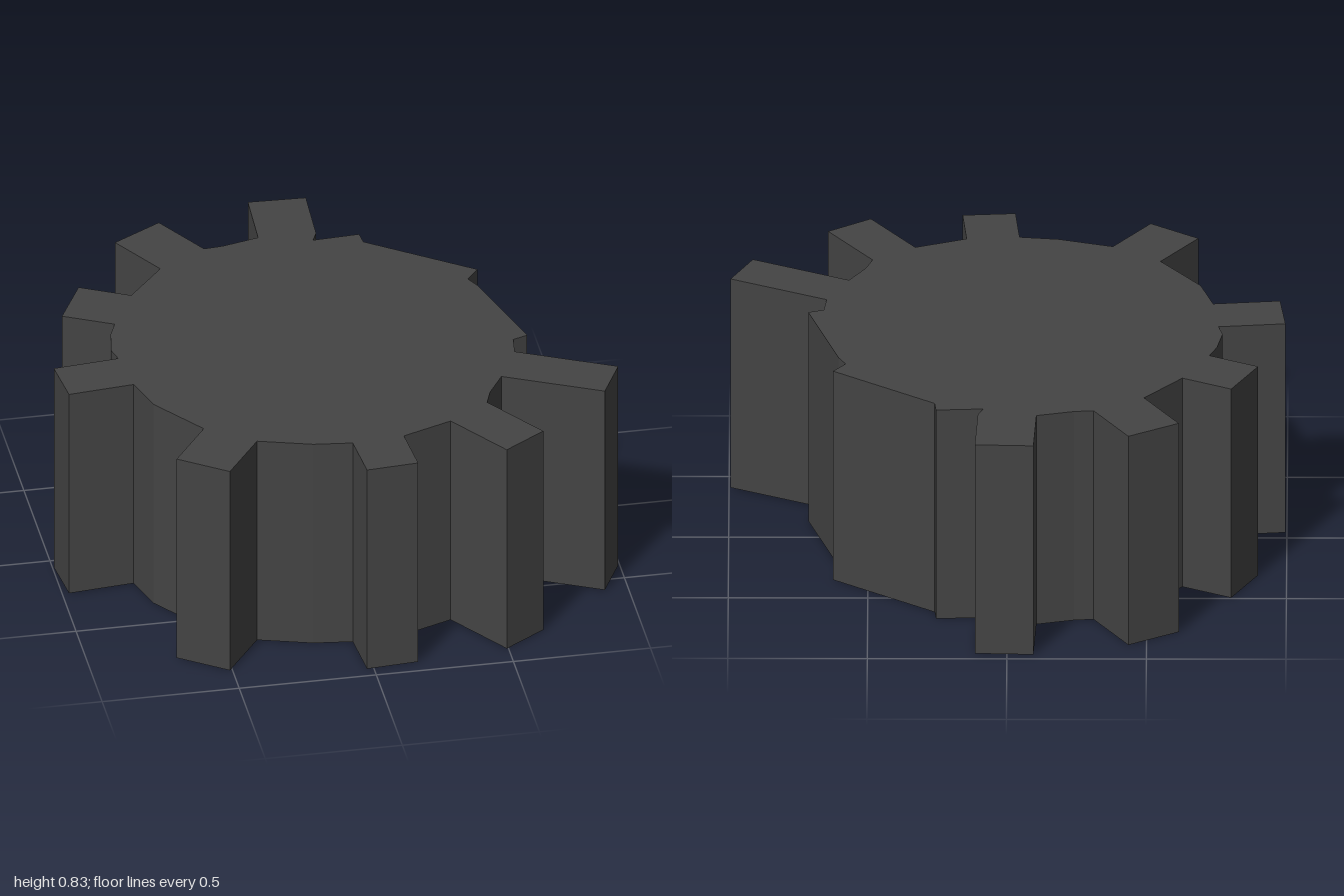
import * as THREE from 'three';

const HEIGHT = 0.83;

// Each tooth: tip centre and root centre (x, z), width, then the rim points
// (x, z) that lead to the next tooth, counter-clockwise seen from above.
const TEETH = [
  { tip: [0.01, -0.96], root: [0, -0.71], width: 0.21, rim: [[-0.24, -0.68]] },
  { tip: [-0.525, -0.83], root: [-0.4, -0.62], width: 0.21, rim: [] },
  { tip: [-0.85, -0.4], root: [-0.675, -0.31], width: 0.21, rim: [[-0.75, -0.15], [-0.77, -0.04]] },
  { tip: [-0.985, 0.14], root: [-0.745, 0.115], width: 0.19, rim: [[-0.69, 0.36]] },
  { tip: [-0.595, 0.81], root: [-0.46, 0.62], width: 0.21, rim: [[-0.18, 0.74]] },
  { tip: [0.07, 0.945], root: [0.055, 0.75], width: 0.19, rim: [] },
  { tip: [0.57, 0.855], root: [0.41, 0.62], width: 0.185, rim: [[0.51, 0.5]] },
  // the worn stretch of rim without teeth
  { tip: [0.955, 0.49], root: [0.61, 0.32], width: 0.18,
    rim: [[0.66, 0.155], [0.715, 0.135], [0.605, -0.24], [0.58, -0.29], [0.625, -0.35],
      [0.26, -0.615], [0.255, -0.67], [0.085, -0.66]] },
];

// Gear outline drawn in the plane (x, -z)
function gearOutline() {
  const points = [];
  for (const { tip, root, width, rim } of TEETH) {
    const t = new THREE.Vector2(tip[0], -tip[1]);
    const r = new THREE.Vector2(root[0], -root[1]);
    const out = t.clone().sub(r).normalize();
    const side = new THREE.Vector2(out.y, -out.x).multiplyScalar(width / 2);
    points.push(r.clone().add(side), t.clone().add(side), t.clone().sub(side), r.clone().sub(side));
    for (const [x, z] of rim) points.push(new THREE.Vector2(x, -z));
  }
  return new THREE.Shape(points);
}

export function createModel() {
  const model = new THREE.Group();
  model.name = 'gear';

  // solid toothed wheel lying flat
  const geometry = new THREE.ExtrudeGeometry(gearOutline(), { depth: HEIGHT, bevelEnabled: false });
  geometry.rotateX(-Math.PI / 2);
  const wheel = new THREE.Mesh(geometry, new THREE.MeshStandardMaterial({ color: 0x444444 }));
  wheel.name = 'toothedWheel';
  model.add(wheel);

  return model;
}
